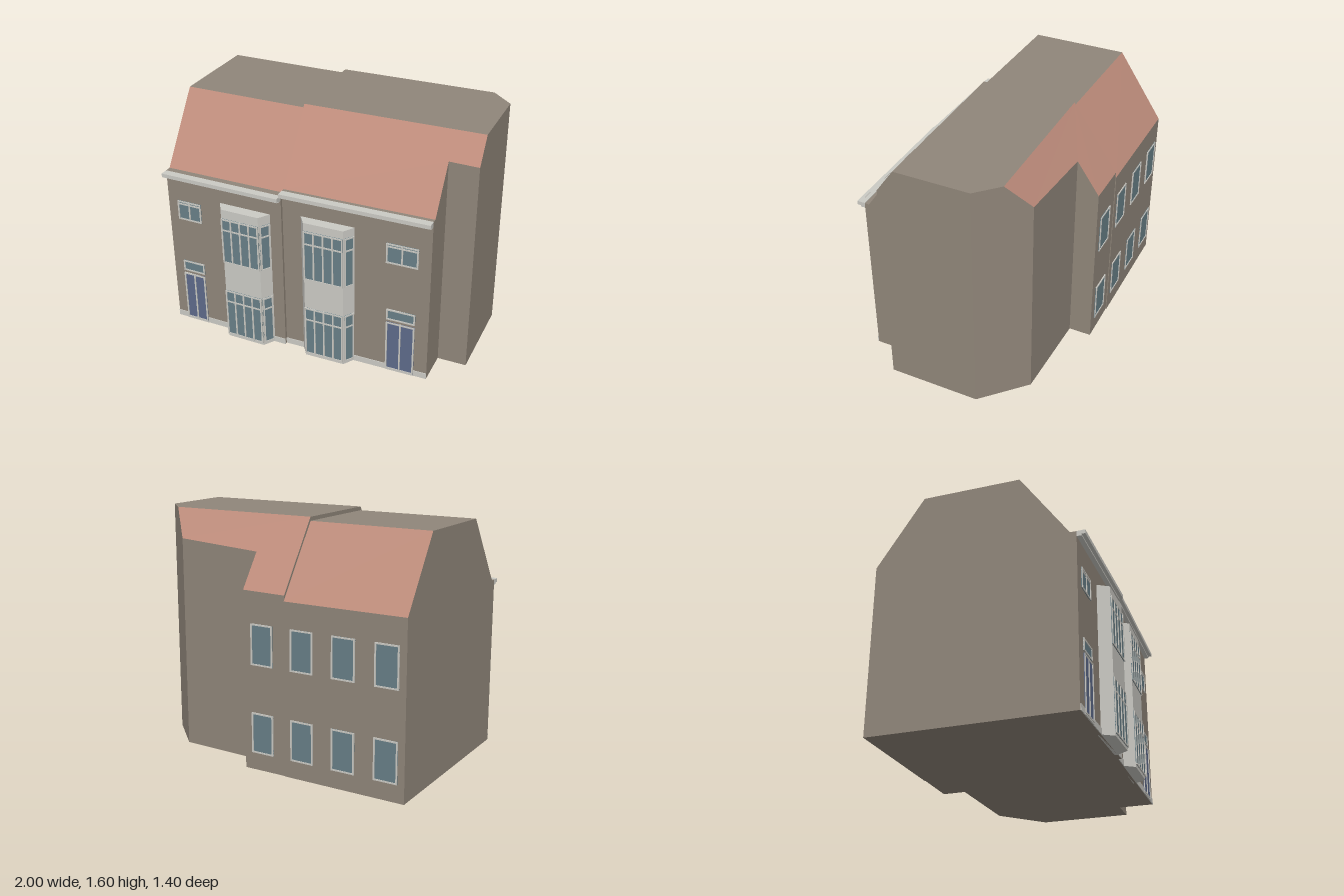
import * as THREE from 'three';

const mat = (name, color) => {
  const m = new THREE.MeshStandardMaterial({ color });
  m.name = name;
  return m;
};
const M = {
  wall: mat('wall', 0x90867a),
  roof: mat('roof tile', 0xbf8d7c),
  trim: mat('pale trim', 0xcbcac4),
  glass: mat('glass', 0x687f87),
  door: mat('door blue', 0x5d6a8a),
};

// Box given by its limits
function box(parent, name, material, x0, x1, y0, y1, z0, z1) {
  const mesh = new THREE.Mesh(new THREE.BoxGeometry(x1 - x0, y1 - y0, z1 - z0), material);
  mesh.position.set((x0 + x1) / 2, (y0 + y1) / 2, (z0 + z1) / 2);
  mesh.name = name;
  parent.add(mesh);
  return mesh;
}

function group(parent, name) {
  const g = new THREE.Group();
  g.name = name;
  parent.add(g);
  return g;
}

// Pane with frame bars: cols panes across, optional transom bar
function glazing(parent, name, x0, x1, y0, y1, z, cols, transom, fill = M.glass, bar = 0.01) {
  const g = group(parent, name);
  box(g, 'pane', fill, x0, x1, y0, y1, z, z + 0.004);
  for (let i = 0; i <= cols; i++) {
    const x = x0 + bar / 2 + ((x1 - x0 - bar) * i) / cols;
    box(g, 'upright', M.trim, x - bar / 2, x + bar / 2, y0, y1, z, z + 0.009);
  }
  const rails = [y0 + bar / 2, y1 - bar / 2];
  if (transom) rails.push(transom);
  for (const y of rails) box(g, 'rail', M.trim, x0, x1, y - bar / 2, y + bar / 2, z, z + 0.008);
  return g;
}

// Faces from corner loops [x, y, z], each fan cut in plan or as a quad
function facesMesh(parent, name, material, triangles) {
  const geo = new THREE.BufferGeometry();
  geo.setAttribute('position', new THREE.Float32BufferAttribute(triangles.flat(), 3));
  geo.computeVertexNormals();
  const mesh = new THREE.Mesh(geo, material);
  mesh.name = name;
  parent.add(mesh);
}

// House body: plan corners [x, z, top height], counterclockwise from above
function houseBody(parent, name, plan, tops, slopes) {
  const g = group(parent, name);
  const at = (i, y = plan[i][2]) => [plan[i][0], y, plan[i][1]];
  const cut = (loop) =>
    THREE.ShapeUtils.triangulateShape(loop.map((i) => new THREE.Vector2(plan[i][0], -plan[i][1])), [])
      .map((t) => t.map((k) => loop[k]));
  const walls = [];
  plan.forEach((_, i) => {
    const j = (i + 1) % plan.length;
    walls.push(...at(i, 0), ...at(j, 0), ...at(j), ...at(i, 0), ...at(j), ...at(i));
  });
  const floor = cut(plan.map((_, i) => i)).flatMap(([a, b, c]) => [at(a, 0), at(c, 0), at(b, 0)]).flat();
  const lids = (loops) => loops.flatMap(cut).flat().flatMap((i) => at(i));
  facesMesh(g, 'walls', M.wall, [walls, floor]);
  facesMesh(g, 'flatRoof', M.wall, [lids(tops)]);
  facesMesh(g, 'roofSlopes', M.roof, [lids(slopes)]);
}

// Two-storey bay with canted sides, glazed in front and on its left side
function bay(parent, cx, depth, top, lower, upper) {
  const g = group(parent, 'bayWindow');
  g.position.x = cx;
  const hw = 0.18, hf = 0.133;
  const shape = new THREE.Shape([
    [-hw, 0.02], [-hw, 0], [-hf, -depth], [hf, -depth], [hw, 0], [hw, 0.02],
  ].map(([x, y]) => new THREE.Vector2(x, y)));
  const geo = new THREE.ExtrudeGeometry(shape, { depth: top, bevelEnabled: false });
  geo.rotateX(-Math.PI / 2);
  const body = new THREE.Mesh(geo, M.trim);
  body.name = 'bayBody';
  g.add(body);
  const side = group(g, 'baySide');
  side.position.set((hw + hf) / 2, 0, depth / 2);
  side.rotation.y = Math.atan2(depth, hw - hf);
  const half = Math.hypot(depth, hw - hf) / 2 - 0.006;
  for (const [y0, y1, transom] of [lower, upper]) {
    glazing(g, 'bayFrontWindow', -hf, hf, y0, y1, depth, 4, transom);
    glazing(side, 'baySideWindow', -half, half, y0, y1, 0, 1, transom);
  }
}

// Street front laid on a slightly turned wall line z = z0 + slope * x
function facade(parent, name, o) {
  const g = group(parent, name);
  g.position.z = o.z0;
  g.rotation.y = -Math.atan(o.slope);
  const [x0, x1] = o.span;
  box(g, 'plinth', M.trim, x0, x1, 0, 0.04, 0, 0.005);
  box(g, 'cornice', M.trim, x0, x1, o.eave - 0.035, o.eave, 0, 0.03);
  box(g, 'gutter', M.trim, x0, x1, o.eave - 0.025, o.eave + 0.001, 0.03, 0.053);
  bay(g, o.bayX, o.bayDepth, o.bayTop, o.lower, o.upper);
  const [d0, d1] = o.door;
  box(g, 'doorStep', M.trim, d0, d1, 0, 0.015, 0, 0.008);
  glazing(g, 'frontDoor', d0, d1, 0.01, 0.372, 0.003, 2, 0, M.door);
  glazing(g, 'fanlight', d0, d1, 0.39, 0.468, 0, 1, 0);
  const [w0, w1, wy0, wy1] = o.window;
  glazing(g, 'upperWindow', w0, w1, wy0, wy1, 0, 2, wy1 - 0.022);
}

export function createModel() {
  const model = new THREE.Group();
  model.name = 'terracedHouses';

  houseBody(model, 'rightHouse', [
    [-0.17, 0.601, 1.15], [0.81, 0.59, 1.15], [0.81, 0.56, 1.15], [0.81, 0.36, 1.437],
    [1, 0.36, 1.433], [1, 0.245, 1.595], [1, -0.25, 1.595], [0.86, -0.385, 1.595],
    [0.73, -0.51, 1.41], [0.13, -0.53, 1.375], [0.13, -0.68, 1.16], [-0.17, -0.68, 1.155],
    [-0.17, -0.375, 1.595], [-0.17, 0.26, 1.595], [-0.17, 0.575, 1.15],
  ], [[0, 1, 2, 14], [13, 5, 6, 7, 12]], [[14, 2, 3, 4, 5, 13], [12, 7, 8, 9, 10, 11]]);

  houseBody(model, 'leftHouse', [
    [-1, 0.605, 1.125], [-0.17, 0.62, 1.125], [-0.17, 0.575, 1.125], [-0.17, 0.26, 1.57],
    [-0.17, -0.375, 1.57], [-0.17, -0.685, 1.12], [-1, -0.69, 1.12], [-1, -0.385, 1.57],
    [-1, 0.25, 1.57], [-1, 0.565, 1.125],
  ], [[0, 1, 2, 9], [8, 3, 4, 7]], [[9, 2, 3, 8], [7, 4, 5, 6]]);

  facade(model, 'leftFacade', {
    z0: 0.623, slope: 0.018, span: [-1, -0.17], eave: 1.125,
    bayX: -0.43, bayDepth: 0.073, bayTop: 0.975,
    lower: [0.02, 0.37, 0.285], upper: [0.585, 0.912, 0.83],
    door: [-0.925, -0.765], window: [-0.93, -0.757, 0.787, 0.925],
  });
  facade(model, 'rightFacade', {
    z0: 0.599, slope: -0.011, span: [-0.17, 0.81], eave: 1.152,
    bayX: 0.135, bayDepth: 0.07, bayTop: 1.0,
    lower: [0.02, 0.378, 0.288], upper: [0.592, 0.945, 0.855],
    door: [0.533, 0.723], window: [0.523, 0.73, 0.805, 0.945],
  });

  // Garden side windows, two rows of four
  const rear = group(model, 'rearWindows');
  rear.position.z = -0.6815;
  rear.rotation.y = Math.PI - Math.atan(0.0085);
  for (const x of [-0.875, -0.585, -0.295, -0.005])
    for (const y of [0.115, 0.69])
      glazing(rear, 'rearWindow', -x - 0.08, -x + 0.08, y, y + 0.265, 0, 1, 0);

  return model;
}
